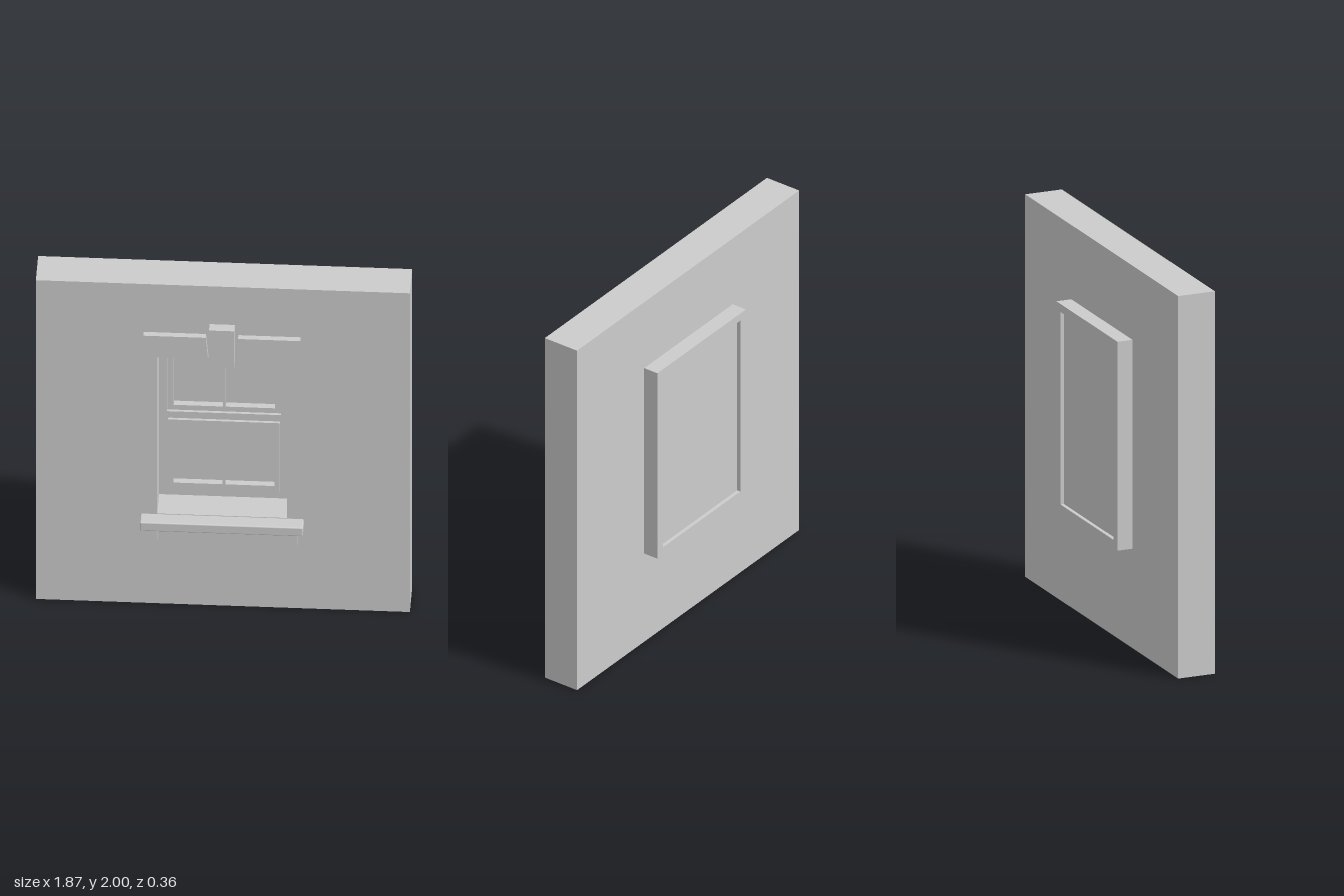
import * as THREE from 'three';
import { RoundedBoxGeometry } from 'three/addons/geometries/RoundedBoxGeometry.js';

const stone = new THREE.MeshStandardMaterial({ color: 0xcccccc });
stone.name = 'paleStone';

function add(parent, name, geometry) {
  const mesh = new THREE.Mesh(geometry, stone);
  mesh.name = name;
  parent.add(mesh);
  return mesh;
}

// Box given by its limits on each axis
function block(parent, name, [x0, x1], [y0, y1], [z0, z1]) {
  const mesh = add(parent, name, new THREE.BoxGeometry(x1 - x0, y1 - y0, z1 - z0));
  mesh.position.set((x0 + x1) / 2, (y0 + y1) / 2, (z0 + z1) / 2);
  return mesh;
}

const rect = (x0, x1, y0, y1) =>
  [[x0, y0], [x1, y0], [x1, y1], [x0, y1]].map(p => new THREE.Vector2(...p));

// Flat plate between z0 and z1, with optional holes
function plate(parent, name, outline, holes, z0, z1) {
  const shape = new THREE.Shape(outline);
  for (const h of holes) shape.holes.push(new THREE.Path(h));
  const geometry = new THREE.ExtrudeGeometry(shape, { depth: z1 - z0, bevelEnabled: false });
  geometry.translate(0, 0, z0);
  return add(parent, name, geometry);
}

export function createModel() {
  const model = new THREE.Group();
  model.name = 'windowWall';
  const opening = rect(-0.325, 0.325, 0.563, 1.57);

  // Wall with the window opening
  plate(model, 'wall', rect(-0.935, 0.935, 0, 2),
    [rect(-0.328, 0.322, 0.563, 1.57)], -0.1, 0.1);

  const win = new THREE.Group();
  win.name = 'window';
  win.position.x = -0.003;
  model.add(win);

  // Casing behind the wall, closed by a slightly recessed panel
  plate(win, 'rearCasing', rect(-0.373, 0.373, 0.52, 1.612), [opening], -0.182, -0.1);
  block(win, 'rearPanel', [-0.325, 0.325], [0.563, 1.57], [-0.162, -0.14]);

  // Fixed frame with an opening for each sash
  plate(win, 'frame', opening,
    [rect(-0.285, 0.285, 1.085, 1.525), rect(-0.279, 0.279, 0.61, 1.045)], -0.14, -0.06);

  // Two sashes, each with a pair of panes
  const sashes = [
    { name: 'upperSash', x: 0.285, y: [1.085, 1.525], pane: [1.115, 1.495], front: -0.075 },
    { name: 'lowerSash', x: 0.279, y: [0.61, 1.045], pane: [0.65, 1.015], front: -0.045 },
  ];
  for (const s of sashes) {
    const panes = [rect(-0.253, -0.007, ...s.pane), rect(0.007, 0.253, ...s.pane)];
    plate(win, s.name, rect(-s.x, s.x, ...s.y), panes, -0.14, s.front);
    const back = s.front - 0.035;
    block(win, s.name + 'Glass', [-0.253, 0.253], s.pane, [back - 0.006, back]);
  }

  // Sill with softened edges
  const sill = add(win, 'sill', new RoundedBoxGeometry(0.816, 0.054, 0.08, 2, 0.007));
  sill.position.set(0, 0.537, 0.141);

  // Sill brackets and the two halves of the lintel
  for (const side of [-1, 1]) {
    const label = side > 0 ? 'left' : 'right';
    const bracket = block(win, label + 'SillBracket', [-0.03, 0.03], [0.43, 0.515], [0.1, 0.153]);
    bracket.position.x = side * 0.35;
    const points = [[0.069, 1.567], [0.324, 1.567], [0.393, 1.7], [0.081, 1.7]]
      .map(([x, y]) => new THREE.Vector2(side * x, y));
    plate(win, label + 'Lintel', points, [], 0.1, 0.132);
  }

  // Keystone
  block(win, 'keystone', [-0.063, 0.063], [1.533, 1.763], [0.1, 0.153]);

  return model;
}
